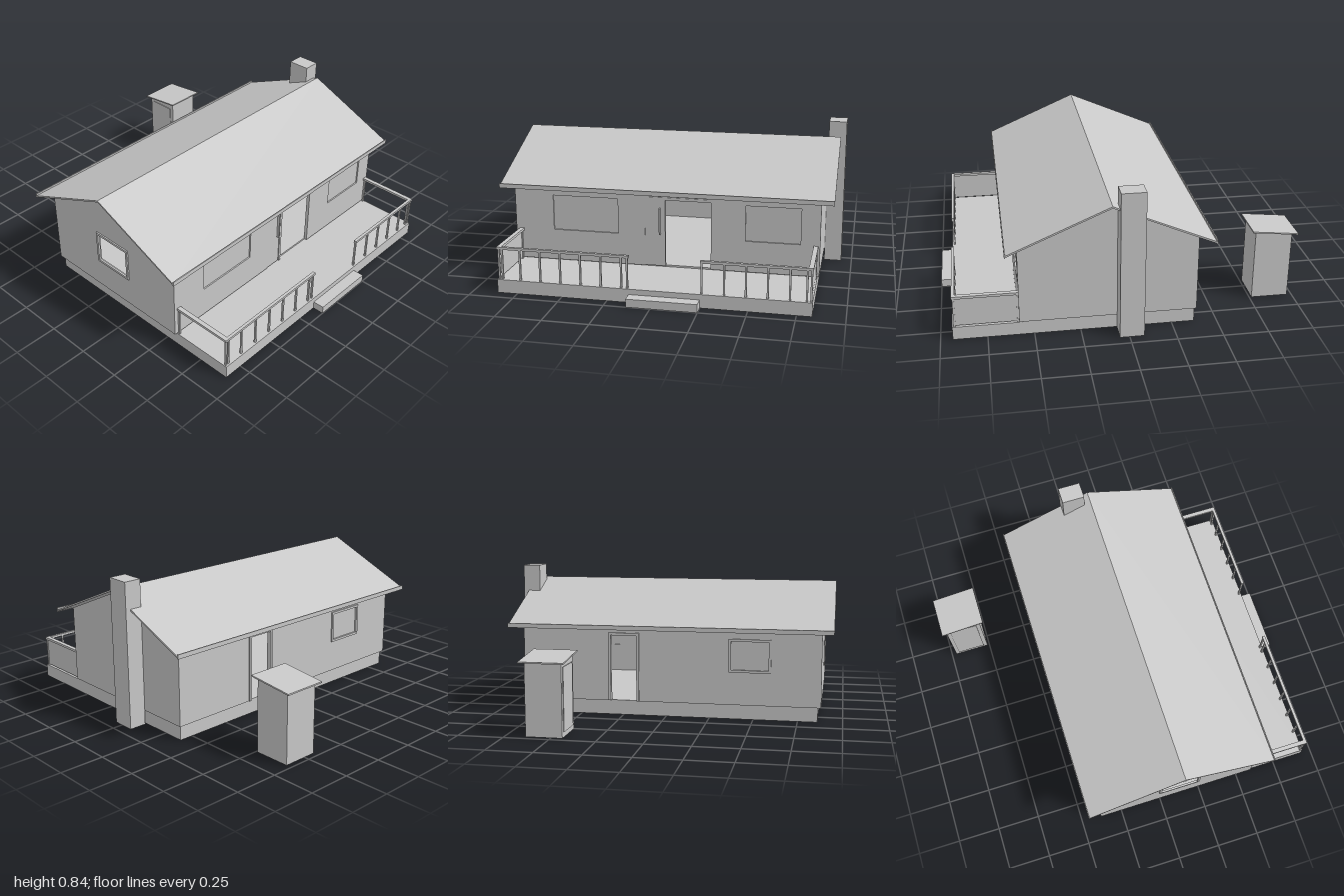
import * as THREE from 'three';

export function createModel() {
  const root = new THREE.Group();
  root.name = 'cabin';
  const grey = new THREE.MeshStandardMaterial({ color: 0xc8c8c8 });
  grey.name = 'plainGrey';

  const add = (name, geo, parent = root) => {
    const mesh = new THREE.Mesh(geo, grey);
    mesh.name = name;
    parent.add(mesh);
    return mesh;
  };
  const group = (name) => {
    const g = new THREE.Group();
    g.name = name;
    root.add(g);
    return g;
  };
  // Box given by its limits on each axis
  const box = (name, x0, x1, y0, y1, z0, z1, parent) => {
    const g = new THREE.BoxGeometry(x1 - x0, y1 - y0, z1 - z0);
    g.translate((x0 + x1) / 2, (y0 + y1) / 2, (z0 + z1) / 2);
    return add(name, g, parent);
  };
  // Extruded outline with rectangular holes [x0, x1, y0, y1]
  const plate = (points, depth, holes = []) => {
    const shape = new THREE.Shape(points.map(([x, y]) => new THREE.Vector2(x, y)));
    for (const [a, b, c, d] of holes) {
      shape.holes.push(new THREE.Path([[a, c], [a, d], [b, d], [b, c]].map(([x, y]) => new THREE.Vector2(x, y))));
    }
    return new THREE.ExtrudeGeometry(shape, { depth, bevelEnabled: false });
  };
  // Turns a (z, y) outline so that it is extruded along x
  const sideways = (geo, xRight) => geo.rotateY(-Math.PI / 2).translate(xRight, 0, 0);
  // Rectangular border, in the xy plane
  const border = (x0, x1, y0, y1, w, d) =>
    plate([[x0, y0], [x1, y0], [x1, y1], [x0, y1]], d, [[x0 + w, x1 - w, y0 + w, y1 - w]]);

  // Foundation, porch and step
  box('houseBase', -0.86, 0.83, 0, 0.085, -0.375, 0.56);
  box('porchFloor', -0.86, 0.83, 0, 0.075, 0.56, 0.935);
  box('step', -0.13, 0.25, 0, 0.045, 0.935, 1.0);

  // House walls
  const L = -0.88, R = 0.84, F = 0.58, B = -0.385, Y0 = 0.083, YE = 0.53, T = 0.02;
  const walls = group('walls');
  const frontWindows = [[-0.655, -0.28, 0.26, 0.46], [0.435, 0.735, 0.26, 0.46]];
  const backWindow = [-0.60, -0.36, 0.27, 0.46];
  const sideWindow = [-0.02, 0.23, 0.26, 0.46];
  // Wall outline with a doorway cut up from its lower edge
  const doorWall = (d0, d1, top) => [
    [L, Y0], [d0, Y0], [d0, top], [d1, top], [d1, Y0], [R, Y0], [R, YE], [L, YE]];
  add('frontWall', plate(doorWall(-0.125, 0.245, 0.47), T, frontWindows).translate(0, 0, F - T), walls);
  add('backWall', plate(doorWall(0.17, 0.32, 0.465), T, [backWindow]).translate(0, 0, B), walls);
  const gable = [[B, Y0], [F, Y0], [F, YE], [0.09, 0.742], [B, YE]];
  add('rightGable', sideways(plate(gable, T, [sideWindow]), L + T), walls);
  add('leftGable', sideways(plate(gable, T), R), walls);

  // Windows: recessed panes, framed at the back and side
  const windows = group('windows');
  for (const [a, b, c, d] of frontWindows) box('frontPane', a, b, c, d, F - 0.014, F - 0.008, windows);
  const [wa, wb, wc, wd] = backWindow;
  box('backPane', wa, wb, wc, wd, B + 0.008, B + 0.014, windows);
  add('backWindowFrame', border(wa, wb, wc, wd, 0.014, 0.012).translate(0, 0, B - 0.008), windows);
  const [sa, sb, sc, sd] = sideWindow;
  add('sideWindowFrame', sideways(border(sa, sb, sc, sd, 0.014, 0.012), L + 0.004), windows);

  // Sliding front door, left partly open, and the rear door frame
  const doors = group('doors');
  box('frontDoorPanel', -0.125, -0.025, 0.085, 0.47, F - 0.012, F - 0.002, doors);
  box('frontDoorStile', -0.025, -0.01, 0.085, 0.47, F - 0.016, F + 0.004, doors);
  box('frontDoorHandle', -0.045, -0.037, 0.27, 0.42, F - 0.002, F + 0.012, doors);
  box('frontDoorHead', -0.13, 0.25, 0.467, 0.483, F - 0.012, F + 0.004, doors);
  box('rearDoorHead', 0.155, 0.335, 0.465, 0.48, B - 0.01, B + 0.01, doors);
  for (const x of [0.155, 0.32]) box('rearDoorJamb', x, x + 0.015, 0.085, 0.465, B - 0.01, B + 0.01, doors);

  // Roof: one thin folded sheet with upright boards along the eaves
  const roof = group('roof');
  const RL = -0.945, RR = 0.91;
  const sheet = [[0.645, 0.507], [0.645, 0.517], [0.09, 0.757], [-0.465, 0.517], [-0.465, 0.507], [0.09, 0.747]];
  add('roofSheet', sideways(plate(sheet, RR - RL), RR), roof);
  box('frontEaveBoard', RL, RR, 0.505, 0.53, 0.641, 0.647, roof);
  box('backEaveBoard', RL, RR, 0.505, 0.53, -0.467, -0.461, roof);

  box('chimney', 0.84, 0.94, 0, 0.838, -0.08, 0.053);

  // Porch railing
  const railing = group('porchRailing');
  box('rightTopRail', -0.86, -0.13, 0.243, 0.257, 0.913, 0.93, railing);
  box('leftTopRail', 0.25, 0.83, 0.243, 0.257, 0.913, 0.93, railing);
  for (const x of [-0.85, -0.832, -0.732, -0.62, -0.508, -0.396, -0.284, -0.172, -0.14,
    0.257, 0.375, 0.488, 0.601, 0.714, 0.8, 0.822]) {
    box('baluster', x - 0.005, x + 0.005, 0.075, 0.243, 0.916, 0.926, railing);
  }
  for (const x of [-0.86, 0.805]) box('sideTopRail', x, x + 0.025, 0.243, 0.257, F, 0.93, railing);
  for (const x of [-0.85, 0.822]) {
    box('sideEndPost', x - 0.005, x + 0.005, 0.075, 0.243, F, F + 0.01, railing);
    const panel = new THREE.PlaneGeometry(0.345, 0.165).rotateY(Math.PI / 2);
    add('sideRailPanel', panel, railing).position.set(x, 0.163, 0.7525);
  }

  // Small outhouse behind the cabin
  const shed = group('outhouse');
  const shedSide = [[-0.972, 0.002], [-0.762, 0.002], [-0.762, 0.42], [-0.972, 0.397]];
  add('outhouseBody', sideways(plate(shedSide, 0.2), 0.635), shed);
  const shedRoof = [[-1.0, 0.396], [-0.74, 0.424], [-0.74, 0.432], [-1.0, 0.404]];
  add('outhouseRoof', sideways(plate(shedRoof, 0.245), 0.66), shed);
  box('outhouseDoor', 0.431, 0.435, 0.03, 0.375, -0.95, -0.785, shed);

  return root;
}
